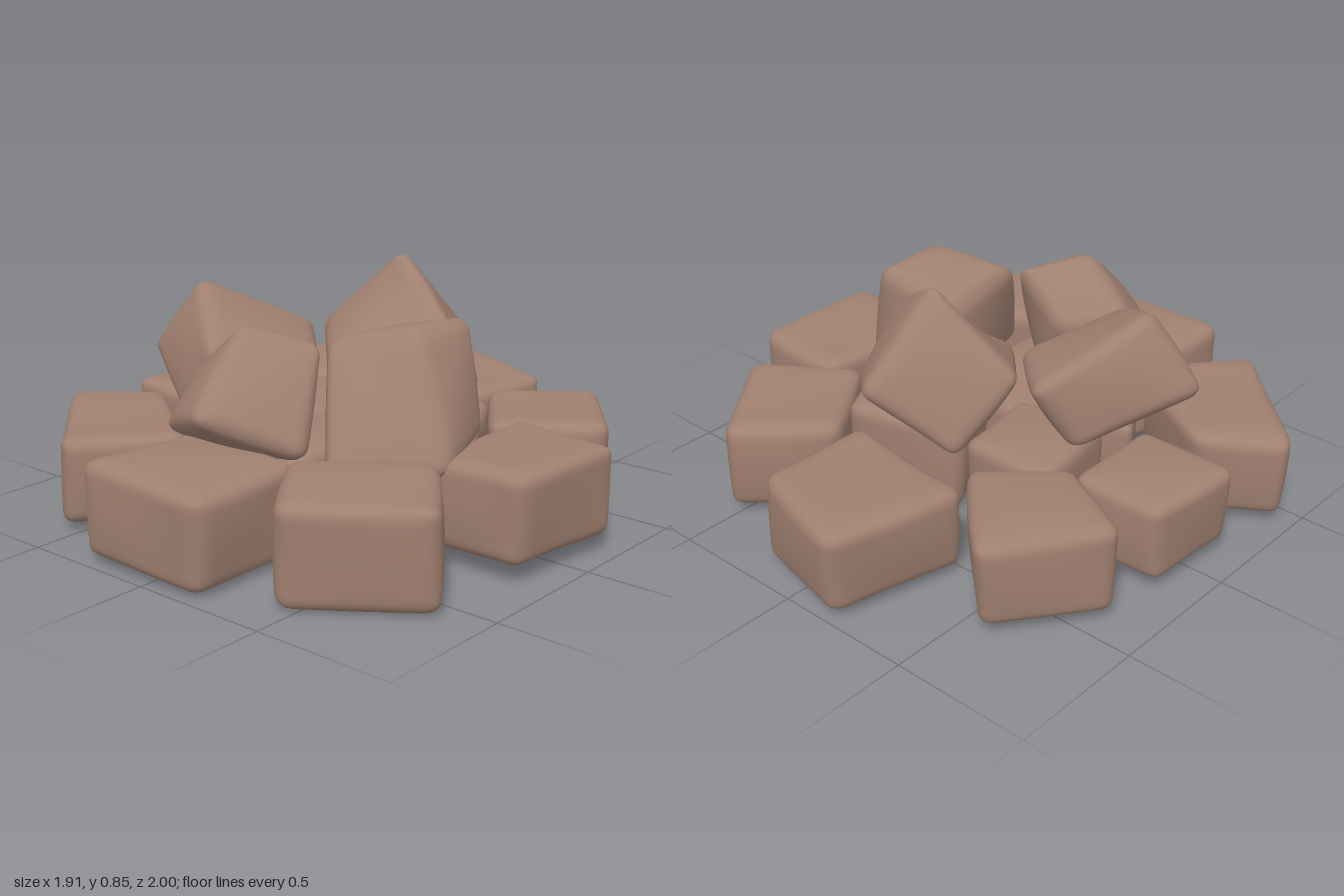
import * as THREE from 'three';
import { mergeVertices } from 'three/addons/utils/BufferGeometryUtils.js';

const SEG = 18;

// Rounded, slightly pillowed block stretched between eight corners.
// Corner order, seen from above: back left, back right, front right, front left.
function stoneGeometry(top, bottom, seed, round, bulge) {
  let geo = new THREE.BoxGeometry(2, 2, 2, SEG, SEG, SEG);
  geo.deleteAttribute('uv');
  geo.deleteAttribute('normal');
  geo = mergeVertices(geo, 1e-4);
  const pos = geo.attributes.position;
  const p = new THREE.Vector3();
  const core = new THREE.Vector3();
  const out = new THREE.Vector3();
  const grow = 1 + round * 0.16;
  for (let i = 0; i < pos.count; i++) {
    p.fromBufferAttribute(pos, i);
    // swell the middle of each face
    const [fx, fy, fz] = p.toArray().map((c) => 1 - c * c);
    const swell = [1 + bulge * fy * fz, 1 + bulge * fx * fz, 1 + bulge * fx * fy];
    // round the edges of the cube
    const k = 1 - round;
    core.copy(p).clampScalar(-k, k);
    p.sub(core).normalize().multiplyScalar(round).add(core).multiplyScalar(grow);
    // blend the corners
    const u = (p.x * swell[0] + 1) / 2;
    const v = (p.y * swell[1] + 1) / 2;
    const w = (p.z * swell[2] + 1) / 2;
    const weights = [(1 - u) * (1 - w), u * (1 - w), u * w, (1 - u) * w];
    out.set(0, 0, 0);
    weights.forEach((f, c) => {
      out.x += f * (top[c][0] * v + bottom[c][0] * (1 - v));
      out.y += f * (top[c][1] * v + bottom[c][1] * (1 - v));
      out.z += f * (top[c][2] * v + bottom[c][2] * (1 - v));
    });
    // gentle unevenness
    const a = 0.006;
    pos.setXYZ(i,
      out.x + a * Math.sin(9 * out.y + 7 * out.z + seed),
      out.y + a * Math.sin(8 * out.x + 6 * out.z + seed * 2),
      out.z + a * Math.sin(7 * out.x + 9 * out.y + seed * 3));
  }
  geo.computeVertexNormals();
  return geo;
}

// Upright stone from its plan outline and height range.
function slab(plan, low, high) {
  const cx = plan.reduce((s, c) => s + c[0], 0) / 4;
  const cz = plan.reduce((s, c) => s + c[1], 0) / 4;
  const ring = (y, s) => plan.map(([x, z]) => [cx + (x - cx) * s, y, cz + (z - cz) * s]);
  return [ring(high, 0.99), ring(low, 0.94)];
}

export function createModel() {
  const group = new THREE.Group();
  group.name = 'stonePile';
  const stoneBrown = new THREE.MeshStandardMaterial({ color: 0xa08070 });
  stoneBrown.name = 'stoneBrown';
  let seed = 1;
  const add = (name, top, bottom, round, bulge) => {
    const mesh = new THREE.Mesh(stoneGeometry(top, bottom, seed++, round, bulge), stoneBrown);
    mesh.name = name;
    group.add(mesh);
  };

  // outer ring and inner ring: plan corners (x, z), low, high
  const baseStones = {
    backStone: [[[-0.22, -1.01], [0.23, -0.88], [0.2, -0.46], [-0.33, -0.51]], 0.04, 0.335],
    backLeftStone: [[[0.52, -0.8], [0.8, -0.42], [0.48, -0.18], [0.22, -0.53]], 0.04, 0.35],
    leftStone: [[[0.55, -0.27], [0.95, -0.23], [0.91, 0.27], [0.52, 0.25]], 0.07, 0.365],
    frontLeftStone: [[[0.62, 0.29], [0.87, 0.6], [0.46, 0.89], [0.23, 0.56]], 0.03, 0.36],
    frontStone: [[[-0.27, 0.5], [0.24, 0.53], [0.23, 0.98], [-0.31, 0.97]], 0.03, 0.345],
    frontRightStone: [[[-0.7, 0.23], [-0.26, 0.54], [-0.53, 0.87], [-0.97, 0.42]], 0.04, 0.335],
    rightStone: [[[-0.88, -0.2], [-0.55, -0.22], [-0.52, 0.18], [-0.91, 0.17]], 0.06, 0.33],
    backRightStone: [[[-0.6, -0.76], [-0.27, -0.42], [-0.52, -0.19], [-0.87, -0.39]], 0.05, 0.35],
    innerRightStone: [[[-0.49, -0.3], [-0.14, -0.3], [-0.08, 0.06], [-0.42, 0.1]], 0.04, 0.34],
    innerBackStone: [[[-0.1, -0.28], [0.31, -0.41], [0.47, -0.1], [0.08, 0.08]], 0.03, 0.35],
    innerLeftStone: [[[0.28, 0.06], [0.5, 0.02], [0.54, 0.27], [0.27, 0.34]], 0.05, 0.35],
    innerFrontStone: [[[-0.14, -0.02], [0.19, 0.02], [0.22, 0.5], [-0.2, 0.48]], 0.03, 0.335],
    innerFrontRightStone: [[[-0.5, 0.14], [-0.18, 0.08], [-0.15, 0.34], [-0.32, 0.42]], 0.04, 0.34],
  };
  for (const [name, [plan, low, high]] of Object.entries(baseStones)) {
    add(name, ...slab(plan, low, high), 0.22, 0.05);
  }

  // tilted stones stacked on top
  add('upperBackStone',
    [[-0.29, 0.6, -0.21], [-0.01, 0.88, -0.29], [0.29, 0.69, -0.18], [0.0, 0.5, 0.11]],
    [[-0.2, 0.36, -0.41], [0.06, 0.57, -0.58], [0.33, 0.42, -0.32], [0.02, 0.24, -0.12]], 0.2, 0.07);
  add('upperLeftStone',
    [[0.15, 0.63, -0.04], [0.43, 0.73, -0.1], [0.45, 0.74, 0.19], [0.16, 0.68, 0.29]],
    [[0.14, 0.28, -0.04], [0.53, 0.36, -0.08], [0.64, 0.33, 0.27], [0.3, 0.3, 0.49]], 0.26, 0.09);
  add('upperFrontStone',
    [[-0.09, 0.54, 0.25], [0.16, 0.68, 0.32], [-0.05, 0.75, 0.48], [-0.28, 0.55, 0.42]],
    [[0.0, 0.25, 0.3], [0.25, 0.36, 0.5], [0.0, 0.5, 0.75], [-0.27, 0.37, 0.62]], 0.24, 0.09);
  add('upperRightStone',
    [[-0.37, 0.59, -0.22], [-0.09, 0.53, 0.06], [-0.25, 0.61, 0.43], [-0.54, 0.79, 0.18]],
    [[-0.47, 0.36, -0.11], [-0.16, 0.26, 0.12], [-0.36, 0.32, 0.42], [-0.72, 0.53, 0.24]], 0.22, 0.08);

  return group;
}
